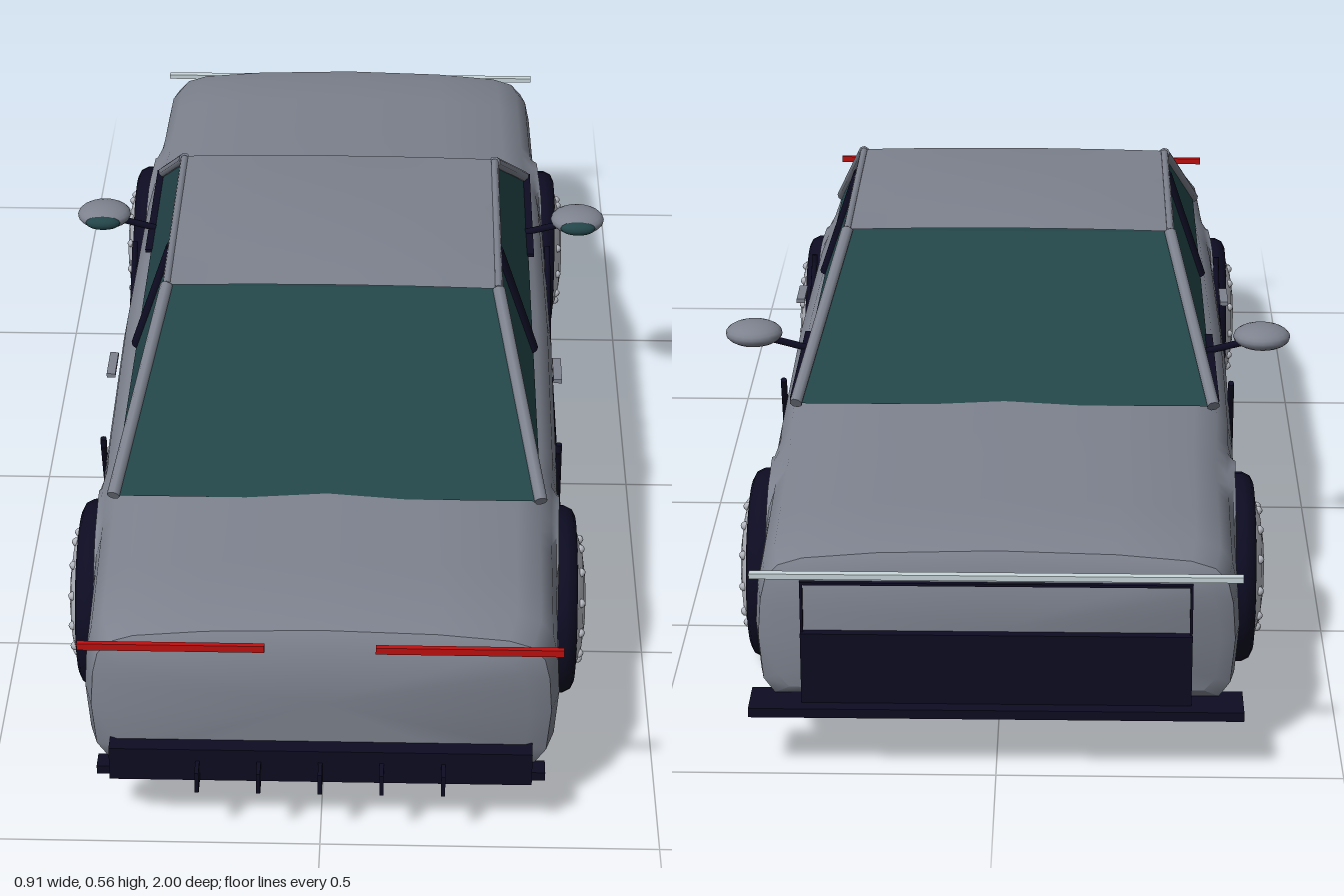
import * as THREE from 'three';
import { toCreasedNormals } from 'three/addons/utils/BufferGeometryUtils.js';
import { ConvexGeometry } from 'three/addons/geometries/ConvexGeometry.js';

const mat = (name, color, side = THREE.FrontSide) => {
  const m = new THREE.MeshStandardMaterial({ color, side });
  m.name = name;
  return m;
};
const V = (x, y, z) => new THREE.Vector3(x, y, z);

export function createModel() {
  const paint = mat('grey paint', 0x7d828e, THREE.DoubleSide);
  const trim = mat('black trim', 0x0d0c22);
  const glass = mat('tinted glass', 0x234549);
  const silver = mat('silver', 0xb4b7bf);
  const red = mat('red', 0xc01010);
  const lamp = mat('lamp white', 0xc9d8dc);
  const car = new THREE.Group();
  car.name = 'car';

  const add = (name, geo, material, x = 0, y = 0, z = 0, parent = car) => {
    const m = new THREE.Mesh(geo, material);
    m.name = name;
    m.position.set(x, y, z);
    parent.add(m);
    return m;
  };
  const box = (name, material, w, h, d, x, y, z, parent) =>
    add(name, new THREE.BoxGeometry(w, h, d), material, x, y, z, parent);
  // round bar between two points
  const bar = (name, material, a, b, r) => {
    const m = add(name, new THREE.CylinderGeometry(r, r, a.distanceTo(b), 8), material);
    m.position.copy(a).lerp(b, 0.5);
    m.quaternion.setFromUnitVectors(V(0, 1, 0), b.clone().sub(a).normalize());
    return m;
  };

  // Body: stations of z, half width, bottom, top
  const stations = [
    [-0.965, 0.32, 0.125, 0.315], [-0.952, 0.342, 0.11, 0.335], [-0.9, 0.35, 0.1, 0.347],
    [-0.6, 0.354, 0.1, 0.362], [-0.42, 0.362, 0.1, 0.37], [0, 0.366, 0.1, 0.376],
    [0.42, 0.362, 0.1, 0.373], [0.6, 0.355, 0.1, 0.37], [0.88, 0.35, 0.1, 0.352],
    [0.93, 0.337, 0.108, 0.338], [0.945, 0.305, 0.125, 0.315],
  ];
  const wheelZ = [-0.58, 0.565], archR = 0.157;
  const zs = stations.map((s) => s[0]);
  for (const w of wheelZ)
    for (const d of [0.16, 0.156, 0.145, 0.125, 0.095, 0.06, 0.025]) zs.push(w - d, w + d);
  zs.push(-0.8, 0.78, -0.2, 0.2);
  zs.sort((a, b) => a - b);
  const at = (z) => {
    let i = 0;
    while (i < stations.length - 2 && z > stations[i + 1][0]) i++;
    const a = stations[i], b = stations[i + 1], t = (z - a[0]) / (b[0] - a[0]);
    return a.map((v, k) => v + (b[k] - v) * t);
  };
  // half section from the belly round to the bonnet centre, with wheel wells cut in
  const section = (z) => {
    const [, w, bottom, top] = at(z);
    let b = bottom;
    for (const c of wheelZ)
      if (Math.abs(z - c) < archR) b = 0.15 + Math.sqrt(archR ** 2 - (z - c) ** 2);
    const well = Math.min(b, 0.3), h = top - bottom;
    const side = (f) => Math.max(bottom + h * f, well + 0.002 + 0.008 * f);
    return [[0, bottom], [w - 0.1, bottom], [w - 0.098, well], [w - 0.022, well], [w - 0.006, side(0.1)],
      [w, side(0.4)], [w - 0.004, side(0.65)], [w - 0.012, side(0.8)], [w - 0.03, side(0.89)],
      [w - 0.065, bottom + h * 0.94], [w * 0.5, top - h * 0.02], [0, top]];
  };
  const pos = [], index = [];
  let n = 0;
  zs.forEach((z) => {
    const half = section(z);
    const ring = half.concat(half.slice(1, -1).reverse().map(([x, y]) => [-x, y]));
    n = ring.length;
    ring.forEach(([x, y]) => pos.push(x, y, z));
  });
  for (let i = 0; i < zs.length - 1; i++)
    for (let j = 0; j < n; j++) {
      const a = i * n + j, b = i * n + (j + 1) % n;
      index.push(a, b, b + n, a, b + n, a + n);
    }
  const last = (zs.length - 1) * n;
  pos.push(0, 0.22, zs[0], 0, 0.22, zs[zs.length - 1]);
  for (let j = 0; j < n; j++) {
    const k = (j + 1) % n;
    index.push(last + n, k, j, last + n + 1, last + j, last + k);
  }
  const bodyGeo = new THREE.BufferGeometry();
  bodyGeo.setAttribute('position', new THREE.Float32BufferAttribute(pos, 3));
  bodyGeo.setIndex(index);
  add('body', toCreasedNormals(bodyGeo, 0.7), paint);

  // Cabin glass, one closed block
  const corners = [[0.325, 0.365, 0.62], [0.262, 0.549, 0.29], [0.262, 0.549, -0.15], [0.325, 0.365, -0.455]];
  const pts = corners.flatMap(([x, y, z]) => [V(x, y, z), V(-x, y, z)]);
  add('cabinGlass', new ConvexGeometry(pts), glass);

  // Crowned roof panel
  const roofGeo = new THREE.PlaneGeometry(0.53, 0.45, 12, 10).rotateX(-Math.PI / 2);
  const rp = roofGeo.attributes.position;
  for (let i = 0; i < rp.count; i++) {
    const u = rp.getX(i) / 0.265, v = rp.getZ(i) / 0.225;
    rp.setY(i, 0.552 + 0.013 * (1 - u * u) * (1 - 0.7 * v * v));
  }
  roofGeo.computeVertexNormals();
  add('roof', roofGeo, paint, 0, 0, 0.07);

  for (const s of [-1, 1]) {
    // Pillars and roof rails
    const c = corners.map(([x, y, z]) => V(s * x, y, z));
    bar('rearPillar', paint, c[0], c[1], 0.01);
    bar('roofRail', paint, c[1], c[2], 0.007);
    bar('frontPillar', paint, c[2], c[3], 0.01);
    const post = bar('centrePillar', trim, V(s * 0.325, 0.37, 0.165), V(s * 0.264, 0.55, 0.165), 0.008);
    post.scale.z = 2;
    box('beltStrip', trim, 0.012, 0.006, 0.3, s * 0.328, 0.371, -0.3);

    // Door seams, handle and sill
    const seam = [[0.325, 0.39], [0.31, 0.388], [0.155, 0.3], [0.16, -0.16], [0.33, -0.26]]
      .map(([y, z]) => V(s * (y > 0.28 ? 0.361 : 0.366), y, z));
    for (let i = 0; i < seam.length - 1; i++) bar('doorSeam', trim, seam[i], seam[i + 1], 0.005);
    box('doorHandle', paint, 0.014, 0.007, 0.07, s * 0.365, 0.328, 0.165);
    box('sill', trim, 0.025, 0.022, 0.86, s * 0.363, 0.1, 0);

    // Mirrors
    bar('mirrorArm', trim, V(s * 0.315, 0.372, -0.23), V(s * 0.39, 0.392, -0.23), 0.006);
    add('mirrorShell', new THREE.SphereGeometry(1, 20, 12), paint, s * 0.41, 0.4, -0.23).scale.set(0.046, 0.02, 0.043);
    add('mirrorGlass', new THREE.SphereGeometry(1, 16, 8), glass, s * 0.41, 0.4, -0.196).scale.set(0.03, 0.012, 0.014);

    // Red light bars
    box('redLight', red, 0.27, 0.011, 0.008, s * 0.215, 0.33, 0.965);

    // Wheels, axis along x, outer side towards +x before mirroring
    for (const z of wheelZ) {
      const wheel = new THREE.Group();
      wheel.name = 'wheel';
      wheel.position.set(s * 0.357, 0.15, z);
      if (s < 0) wheel.rotation.y = Math.PI;
      car.add(wheel);
      const lathe = (profile) => new THREE.LatheGeometry(profile.map(([r, x]) => new THREE.Vector2(r, x)), 40)
        .rotateZ(-Math.PI / 2);
      add('tyre', lathe([[0.112, -0.022], [0.13, -0.027], [0.14, -0.022], [0.146, -0.01], [0.146, 0.01],
        [0.14, 0.022], [0.13, 0.027], [0.112, 0.022], [0.112, -0.022]]), trim, 0, 0, 0, wheel);
      add('hubcap', lathe([[0, -0.005], [0.114, -0.005], [0.116, 0.02], [0.108, 0.029], [0.08, 0.038],
        [0.045, 0.043], [0, 0.045]]), silver, 0, 0, 0, wheel);
      for (let i = 0; i < 12; i++) {
        const a = i * Math.PI / 6;
        add('hubStud', new THREE.SphereGeometry(0.007, 8, 6), silver, 0.034,
          0.093 * Math.cos(a), 0.093 * Math.sin(a), wheel);
      }
      add('axleHub', new THREE.CylinderGeometry(0.03, 0.03, 0.04, 16).rotateZ(Math.PI / 2), trim, -0.02, 0, 0, wheel);
      box('brakeCaliper', red, 0.025, 0.05, 0.035, -0.022, 0.03, -s * 0.06, wheel);
    }
  }

  // Bumper with fins at the red-light end
  box('bumper', trim, 0.62, 0.055, 0.04, 0, 0.123, 0.95);
  box('bumperLip', trim, 0.66, 0.014, 0.03, 0, 0.1, 0.94);
  for (let i = -2; i <= 2; i++) box('fin', trim, 0.006, 0.035, 0.05, i * 0.09, 0.113, 0.975);

  // Splitter, grille and lamp strip at the other end
  box('splitter', trim, 0.71, 0.014, 0.07, 0, 0.1, -0.965);
  box('grille', trim, 0.56, 0.11, 0.018, 0, 0.16, -0.97);
  box('panelTop', trim, 0.56, 0.004, 0.012, 0, 0.29, -0.966);
  for (const s of [-1, 1]) box('panelSide', trim, 0.004, 0.08, 0.012, s * 0.278, 0.252, -0.966);
  box('lampStrip', lamp, 0.7, 0.008, 0.012, 0, 0.308, -0.982);
  return car;
}
